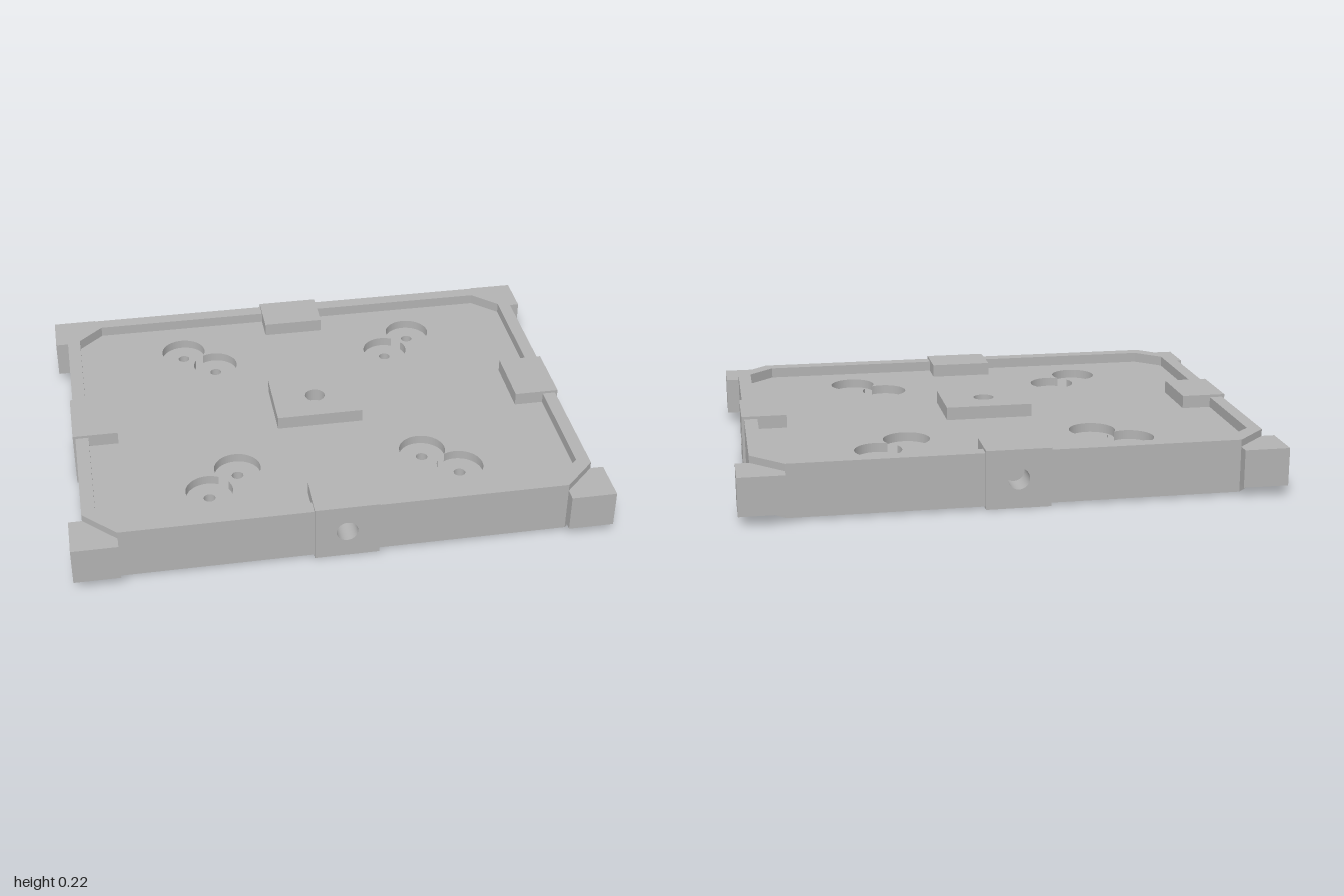
import * as THREE from 'three';

const grey = new THREE.MeshStandardMaterial({ color: 0xb2b2b2 });
grey.name = 'plainGrey';

const toShape = (pts) => new THREE.Shape(pts.map(([x, z]) => new THREE.Vector2(x, z)));
const rectangle = (w, h) => toShape([[-w, -h], [w, -h], [w, h], [-w, h]]);
const circle = (x, z, r) => new THREE.Path().absarc(x, z, r, 0, Math.PI * 2, true);
const mirror = (pts, sx, sz) => pts.map(([x, z]) => [x * sx, z * sz]);
const quadrants = [[1, 1], [-1, 1], [-1, -1], [1, -1]];

// Plan outline (x, z) raised from y0 to y1
function slab(name, shape, y0, y1) {
  const g = new THREE.ExtrudeGeometry(shape, { depth: y1 - y0, bevelEnabled: false, curveSegments: 32 });
  g.rotateX(Math.PI / 2).translate(0, y1, 0);
  const mesh = new THREE.Mesh(g, grey);
  mesh.name = name;
  return mesh;
}

// Octagonal panel outline, notched where the side clips sit
function panelShape() {
  const quarter = [[0.79, 0.125], [0.9, 0.125], [0.9, 0.57], [0.805, 0.66], [0.12, 0.66], [0.12, 0.55]];
  return toShape(quadrants.flatMap(([sx, sz]) => {
    const pts = mirror(quarter, sx, sz);
    return sx * sz > 0 ? pts : pts.reverse();
  }));
}

// Outline of two overlapping round pockets
function twinPocket(a, b, r) {
  const d = Math.hypot(b[0] - a[0], b[1] - a[1]);
  const dir = Math.atan2(b[1] - a[1], b[0] - a[0]);
  const gap = Math.acos(d / 2 / r);
  const path = new THREE.Path();
  path.absarc(a[0], a[1], r, dir + gap, dir + Math.PI * 2 - gap, false);
  path.absarc(b[0], b[1], r, dir + Math.PI + gap, dir + Math.PI * 3 - gap, false);
  path.closePath();
  return path;
}

// Edge clip with a blind round hole in its outer face
function sideClip(name, halfWidth, reach, angle) {
  const clip = new THREE.Group();
  clip.name = name;
  const holeDepth = 0.1, depth = 0.172, height = 0.22;
  const face = rectangle(halfWidth, height / 2);
  face.holes.push(circle(0, 0, 0.04));
  const front = new THREE.Mesh(
    new THREE.ExtrudeGeometry(face, { depth: holeDepth, bevelEnabled: false, curveSegments: 32 }), grey);
  front.name = 'clipFace';
  front.position.set(0, height / 2, reach - holeDepth);
  const back = new THREE.Mesh(new THREE.BoxGeometry(halfWidth * 2, height, depth - holeDepth), grey);
  back.name = 'clipBack';
  back.position.set(0, height / 2, reach - (depth + holeDepth) / 2);
  clip.add(front, back);
  clip.rotation.y = angle;
  return clip;
}

export function createModel() {
  const model = new THREE.Group();
  model.name = 'mountingPlate';

  // Recessed panel: drilled base under a layer with round pockets
  const base = panelShape(), pockets = panelShape();
  for (const [sx, sz] of quadrants) {
    const a = [0.477 * sx, 0.477 * sz], b = [0.357 * sx, 0.357 * sz];
    base.holes.push(circle(...a, 0.022), circle(...b, 0.022));
    pockets.holes.push(twinPocket(a, b, 0.088));
  }
  model.add(slab('drilledPanel', base, 0.045, 0.135));
  model.add(slab('pocketPanel', pockets, 0.135, 0.17));

  // Raised rim quarters and corner bumpers
  const rim = [[0.9, 0.125], [0.95, 0.125], [0.95, 0.595], [0.83, 0.715],
    [0.12, 0.715], [0.12, 0.66], [0.805, 0.66], [0.9, 0.57]];
  const bumper = [[0.95, 0.595], [1, 0.595], [1, 0.762], [0.83, 0.762], [0.83, 0.715]];
  for (const [sx, sz] of quadrants) {
    model.add(slab('rimQuarter', toShape(mirror(rim, sx, sz)), 0.01, 0.21));
    model.add(slab('cornerBumper', toShape(mirror(bumper, sx, sz)), 0.04, 0.183));
  }

  // Centre pad with a shallow hole
  const pad = rectangle(0.168, 0.132);
  pad.holes.push(circle(0, 0, 0.04));
  model.add(slab('centrePad', pad, 0.17, 0.22));

  // Clips in the middle of each edge
  model.add(sideClip('frontClip', 0.12, 0.724, 0));
  model.add(sideClip('leftClip', 0.125, 0.96, Math.PI / 2));
  model.add(sideClip('backClip', 0.12, 0.724, Math.PI));
  model.add(sideClip('rightClip', 0.125, 0.96, -Math.PI / 2));
  return model;
}
